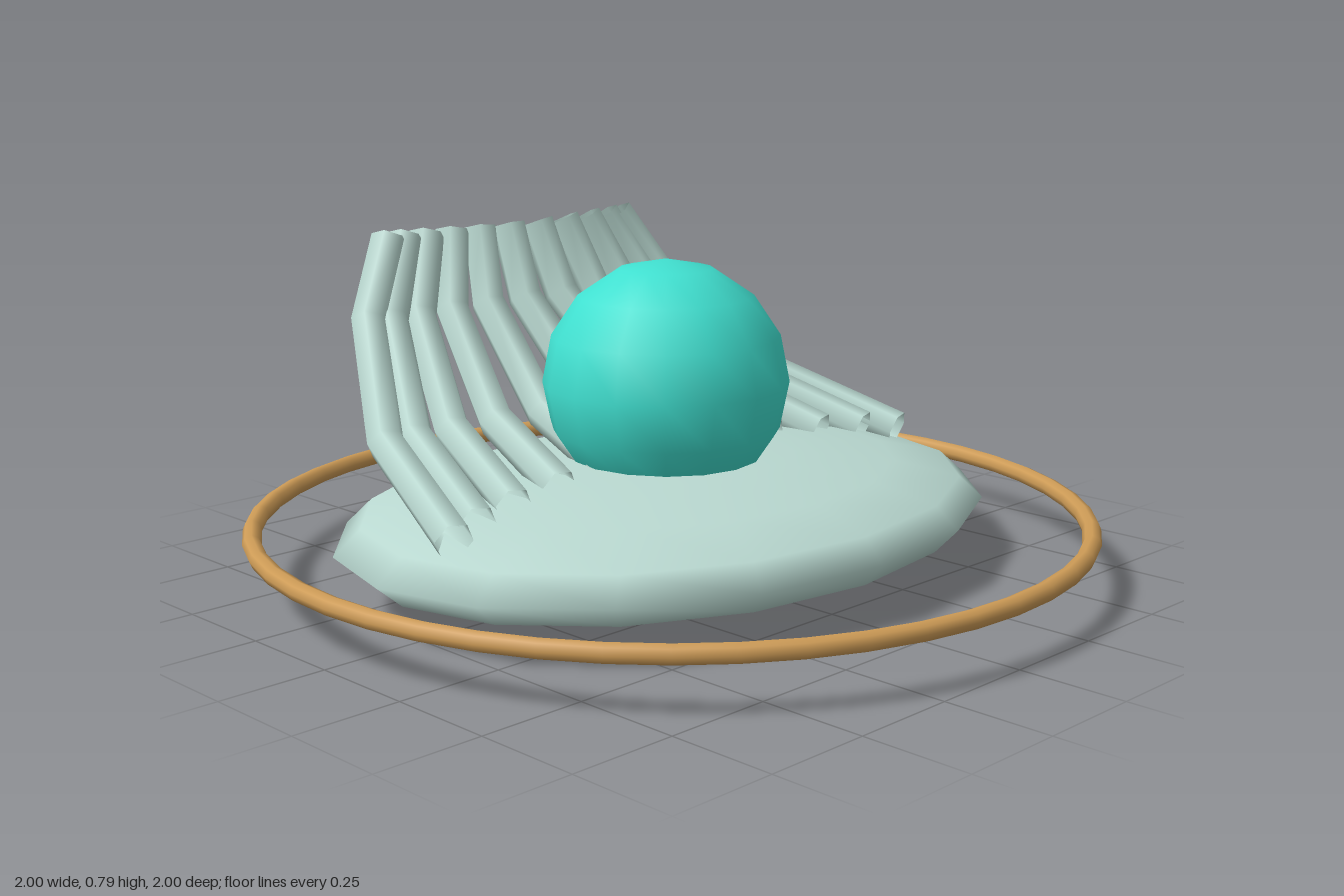
import * as THREE from 'three';

export function createModel() {
  const model = new THREE.Group();
  const shellMat = new THREE.MeshStandardMaterial({ color: 0xbad9d1, side: THREE.DoubleSide });
  shellMat.name = 'pale sage';
  const ballMat = new THREE.MeshStandardMaterial({ color: 0x40e0d0 });
  ballMat.name = 'turquoise';
  const ringMat = new THREE.MeshStandardMaterial({ color: 0xcd9b56 });
  ringMat.name = 'bronze';

  const add = (geometry, material, name, parent = model) => {
    const mesh = new THREE.Mesh(geometry, material);
    mesh.name = name;
    parent.add(mesh);
    return mesh;
  };

  // Flattened oval base
  const base = add(new THREE.SphereGeometry(1, 16, 8), shellMat, 'base');
  base.scale.set(0.865, 0.1425, 0.64);
  base.position.y = 0.1425;

  // Ball resting on the base
  add(new THREE.SphereGeometry(0.29, 16, 8), ballMat, 'ball').position.set(0, 0.45, -0.02);

  // Ring around the base
  const ring = add(new THREE.TorusGeometry(0.977, 0.022, 8, 48), ringMat, 'ring');
  ring.rotation.x = Math.PI / 2;
  ring.position.y = 0.13;

  // Fan of eleven bent, open tubes rising behind the ball
  const fan = new THREE.Group();
  fan.name = 'fan';
  model.add(fan);
  for (let i = -5; i <= 5; i++) {
    const angle = (i / 5) * 1.15;
    const s = Math.sin(angle);
    const footZ = 0.17 - 0.19 * Math.cos(angle);
    const path = new THREE.CatmullRomCurve3([
      new THREE.Vector3(0.8 * s, 0.235 + (0.092 - footZ) * 0.3, footZ),
      new THREE.Vector3(0.68 * s, 0.36, -0.28),
      new THREE.Vector3(0.525 * s, 0.59, -0.52),
      new THREE.Vector3(0.405 * s, 0.768, -0.58),
    ]);
    // Bend exactly at the control points
    path.getPointAt = path.getPoint;
    path.getTangentAt = path.getTangent;
    add(new THREE.TubeGeometry(path, 3, 0.044, 6, false), shellMat, 'fanTube', fan);
  }
  return model;
}
